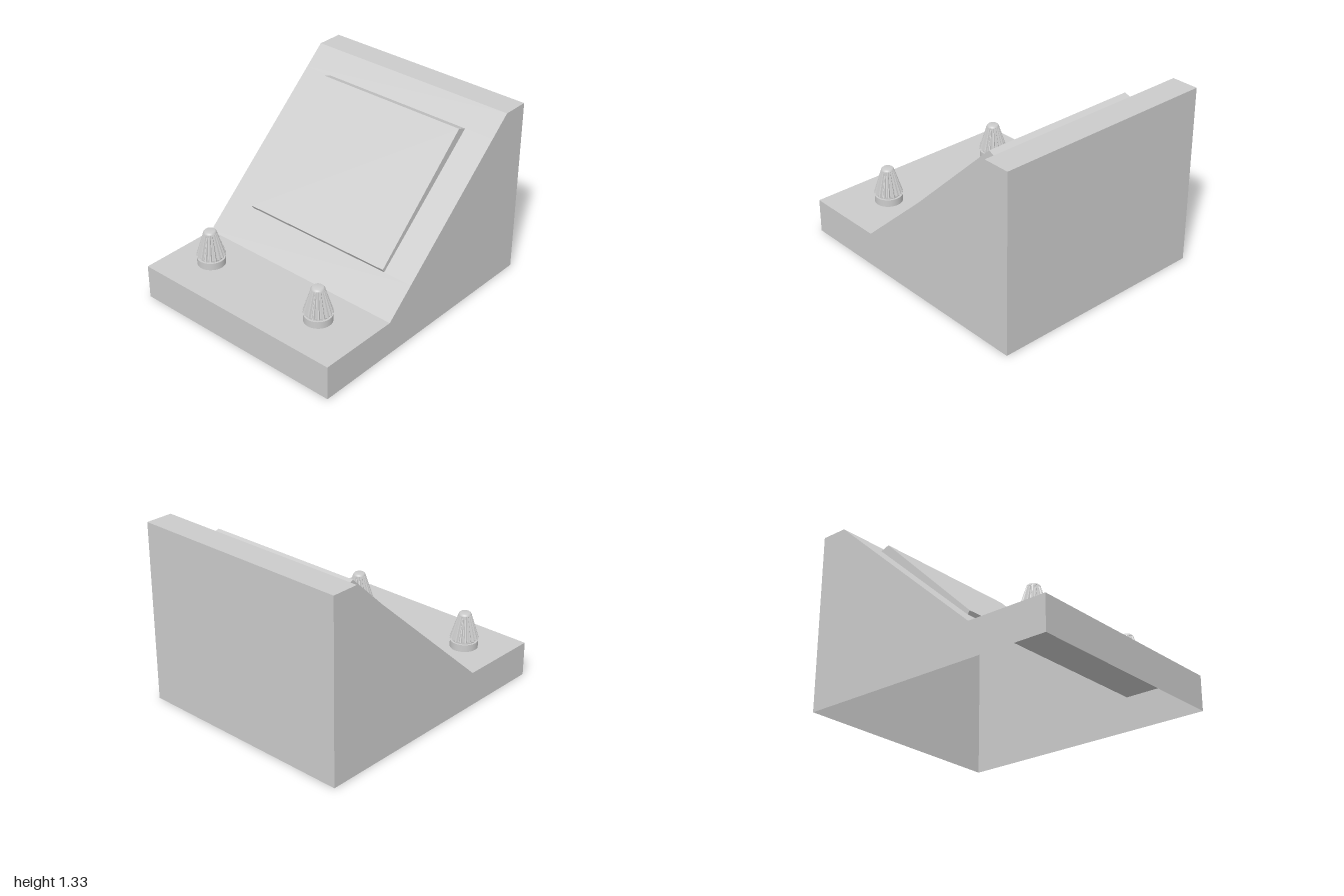
import * as THREE from 'three';
import { mergeGeometries } from 'three/addons/utils/BufferGeometryUtils.js';

const shell = new THREE.MeshStandardMaterial({ color: 0xcccccc, side: THREE.DoubleSide });
const faceted = new THREE.MeshStandardMaterial({ color: 0xcccccc, flatShading: true });

// Flat panel across x, running from profile point a to b, points given as [z, y]
function panel(a, b, x0, x1) {
  const dz = b[0] - a[0], dy = b[1] - a[1];
  return new THREE.PlaneGeometry(x1 - x0, Math.hypot(dz, dy))
    .rotateX(Math.atan2(dz, dy))
    .translate((x0 + x1) / 2, (a[1] + b[1]) / 2, (a[0] + b[0]) / 2);
}

// Flat cheek at x with the given [z, y] outline, facing towards sign * x
function cheek(profile, x, sign) {
  const shape = new THREE.Shape(profile.map(([z, y]) => new THREE.Vector2(-sign * z, y)));
  return new THREE.ShapeGeometry(shape).rotateY(sign * Math.PI / 2).translate(x, 0, 0);
}

function mesh(name, geometry, material) {
  const m = new THREE.Mesh(geometry, material);
  m.name = name;
  return m;
}

// Tapered knob: round foot, narrow neck, fluted grip and a small domed cap
function createKnob(name, x) {
  const knob = new THREE.Group();
  knob.name = name;
  const foot = new THREE.CylinderGeometry(0.1, 0.1, 0.053, 36).translate(0, 0.0265, 0);
  const neck = new THREE.CylinderGeometry(0.085, 0.085, 0.025, 36).translate(0, 0.06, 0);

  // Every second pair of vertices is pulled in to cut the flutes
  const teeth = 18, segments = teeth * 4;
  const grip = new THREE.CylinderGeometry(0.047, 0.104, 0.18, segments, 1);
  const p = grip.attributes.position;
  for (let i = 0; i < p.count; i++) {
    const px = p.getX(i), pz = p.getZ(i);
    const k = Math.round(Math.atan2(px, pz) / (2 * Math.PI) * segments + segments) % 4;
    const f = k < 2 ? 1 : 0.87;
    p.setX(i, px * f);
    p.setZ(i, pz * f);
  }
  grip.translate(0, 0.16, 0);

  const cap = new THREE.LatheGeometry([
    [0.047, 0.249], [0.044, 0.257], [0.036, 0.265], [0, 0.265],
  ].map(([r, y]) => new THREE.Vector2(r, y)), 36);

  knob.add(mesh('knobFoot', foot, new THREE.MeshStandardMaterial({ color: 0xcccccc })),
    mesh('knobNeck', neck, new THREE.MeshStandardMaterial({ color: 0xcccccc })),
    mesh('knobGrip', grip, faceted), mesh('knobCap', cap, shell));
  knob.position.set(x, 0.255, 0.67);
  return knob;
}

export function createModel() {
  const model = new THREE.Group();
  model.name = 'console';
  const W = 0.835, S = 0.608;

  // Console shell, open underneath
  const outline = [[1, 0], [1, 0.255], [0.39, 0.255], [-0.8, 1.325], [-1, 1.325], [-1, 0]];
  const [, , foot, brow] = outline;
  const onSlope = z => [z, foot[1] + (foot[0] - z) / (foot[0] - brow[0]) * (brow[1] - foot[1])];
  const low = onSlope(0.18), high = onSlope(-0.65);
  const body = [cheek(outline, W, 1), cheek(outline, -W, -1)];
  for (const i of [0, 1, 3, 4]) body.push(panel(outline[i], outline[i + 1], -W, W));
  // Sloped face, framing the opening for the screen
  body.push(panel(foot, low, -W, W), panel(high, brow, -W, W),
    panel(low, high, -W, -S), panel(low, high, S, W));
  model.add(mesh('consoleBody', mergeGeometries(body), shell));

  // Raised screen, hollow behind and slightly thicker at the top
  const rim = [low, [0.195, 0.47], [-0.582, 1.215], high];
  const screen = [cheek(rim, S, 1), cheek(rim, -S, -1)];
  for (let i = 0; i < 3; i++) screen.push(panel(rim[i], rim[i + 1], -S, S));
  model.add(mesh('screen', mergeGeometries(screen), shell));

  model.add(createKnob('rightKnob', -0.54), createKnob('leftKnob', 0.46));
  return model;
}
